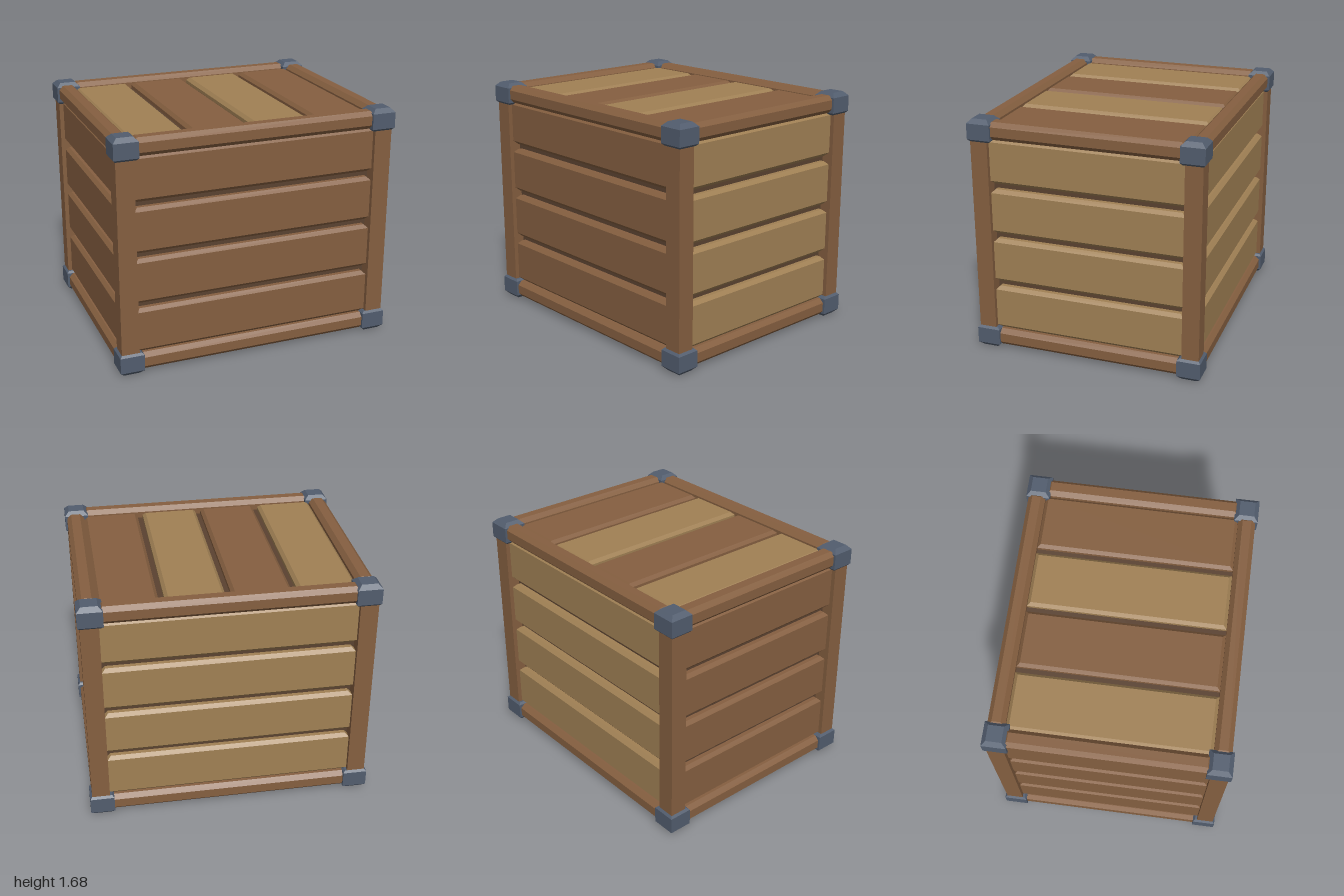
import * as THREE from 'three';

const mat = (name, color) => {
  const m = new THREE.MeshStandardMaterial({ color });
  m.name = name;
  return m;
};

// Box given by its min and max corners; its top and bottom ends taper in by a chamfer
function taperedBox([x0, y0, z0], [x1, y1, z1], top = 0, bottom = top) {
  const w = x1 - x0, h = y1 - y0, d = z1 - z0;
  const box = new THREE.BoxGeometry(w, h, d, 1, 3, 1);
  const p = box.attributes.position;
  for (let i = 0; i < p.count; i++) {
    const row = Math.round((p.getY(i) / h + 0.5) * 3);
    const inset = row === 3 ? top : row === 0 ? bottom : 0;
    const y = [-h / 2, -h / 2 + bottom, h / 2 - top, h / 2][row];
    p.setXYZ(i,
      p.getX(i) - Math.sign(p.getX(i)) * inset, y,
      p.getZ(i) - Math.sign(p.getZ(i)) * inset);
  }
  const g = box.toNonIndexed();
  g.computeVertexNormals();
  g.translate((x0 + x1) / 2, (y0 + y1) / 2, (z0 + z1) / 2);
  return g;
}

export function createModel() {
  const group = new THREE.Group();
  group.name = 'crate';
  const wood = mat('brown wood', 0x855f40);
  const pale = mat('pale wood', 0xa08054);
  const dark = mat('dark wood', 0x5a4230);
  const metal = mat('blue grey metal', 0x525d6e);

  const add = (name, material, geometry) => {
    const mesh = new THREE.Mesh(geometry, material);
    mesh.name = name;
    group.add(mesh);
  };
  // Same box mirrored to the side given by the signs sx and sz
  const span = (s, a, b) => (s > 0 ? [a, b] : [-b, -a]);

  // Inner body seen between the planks and from below
  add('innerBody', dark, new THREE.BoxGeometry(1.8, 1.51, 1.43).translate(0, 0.835, 0));

  // Corner posts and metal corner caps
  for (const sx of [-1, 1]) for (const sz of [-1, 1]) {
    const [px0, px1] = span(sx, 0.86, 0.985), [pz0, pz1] = span(sz, 0.68, 0.8);
    add('cornerPost', wood, new THREE.BoxGeometry(0.125, 1.5, 0.12)
      .translate((px0 + px1) / 2, 0.84, (pz0 + pz1) / 2));
    const [cx0, cx1] = span(sx, 0.83, 1), [cz0, cz1] = span(sz, 0.65, 0.815);
    add('topCornerCap', metal, taperedBox([cx0, 1.525, cz0], [cx1, 1.68, cz1], 0.03, 0.015));
    add('bottomCornerCap', metal, taperedBox([cx0, 0, cz0], [cx1, 0.16, cz1], 0.015, 0.03));
  }

  // Chamfered rails around the top and the bottom
  for (const [y0, y1] of [[0.02, 0.145], [1.54, 1.665]]) for (const s of [-1, 1]) {
    const [z0, z1] = span(s, 0.68, 0.8), [x0, x1] = span(s, 0.86, 0.985);
    add('longRail', wood, taperedBox([-0.86, y0, z0], [0.86, y1, z1], 0.03));
    add('sideRail', wood, taperedBox([x0, y0, -0.68], [x1, y1, 0.68], 0.03));
  }

  // Four planks on each wall: brown on the front and right, pale on the back and left
  for (let i = 0; i < 4; i++) {
    const y0 = 0.145 + i * 0.36, y1 = y0 + 0.32;
    for (const s of [-1, 1]) {
      const [z0, z1] = span(s, 0.66, 0.77), [x0, x1] = span(s, 0.84, 0.955);
      add(s > 0 ? 'frontPlank' : 'backPlank', s > 0 ? wood : pale,
        taperedBox([-0.86, y0, z0], [0.86, y1, z1], 0.024));
      add(s > 0 ? 'leftPlank' : 'rightPlank', s > 0 ? pale : wood,
        taperedBox([x0, y0, -0.68], [x1, y1, 0.68], 0.024));
    }
  }

  // Lid planks in alternating colours
  for (let i = 0; i < 4; i++) {
    const x = -0.86 + i * 0.44;
    add('lidPlank', i % 2 ? wood : pale, taperedBox([x, 1.56, -0.68], [x + 0.4, 1.635, 0.68], 0.022, 0));
  }
  return group;
}
